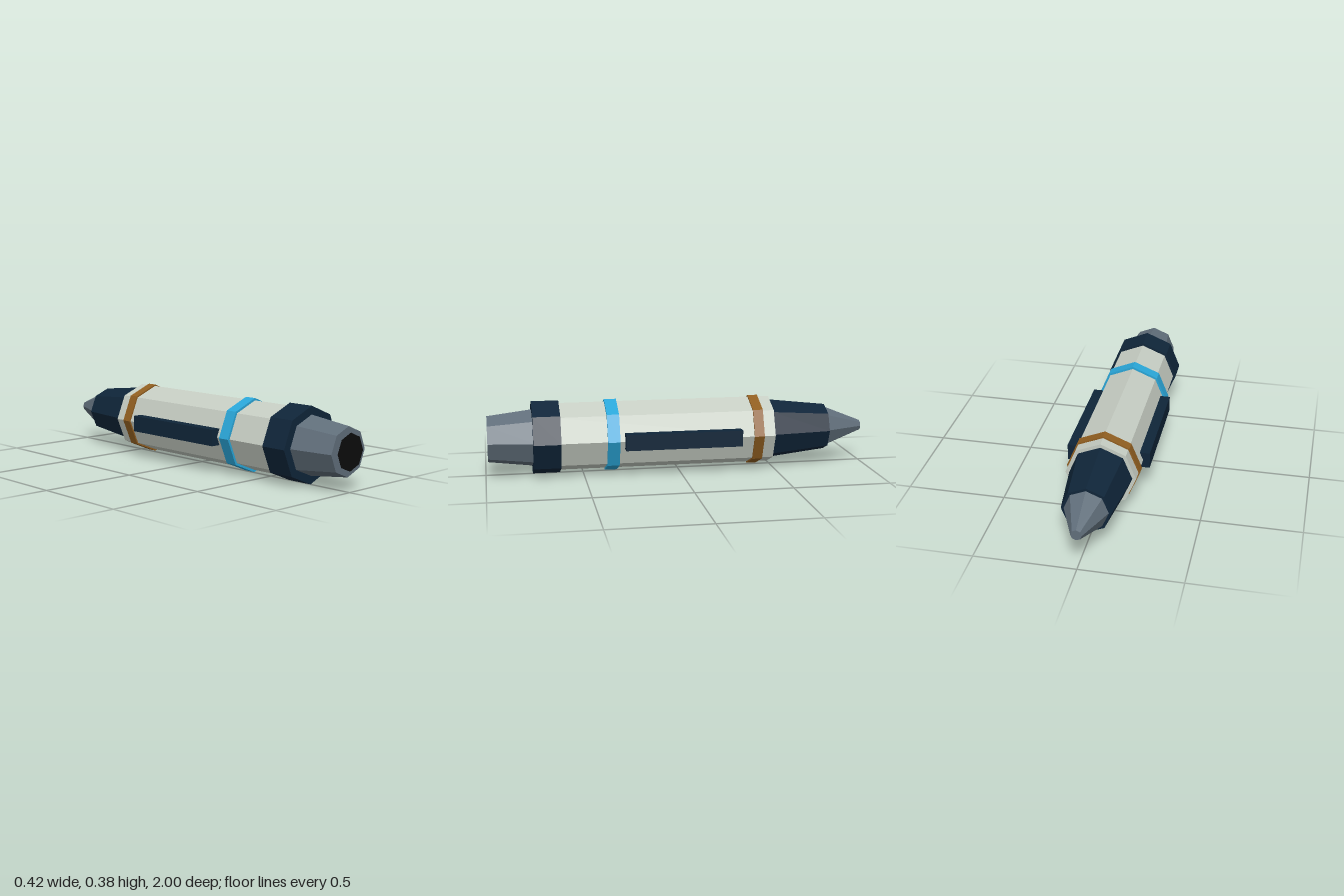
import * as THREE from 'three';

const AXIS_Y = 0.193;

function material(name, color) {
  const m = new THREE.MeshStandardMaterial({ color, flatShading: true });
  m.name = name;
  return m;
}

export function createModel() {
  const group = new THREE.Group();
  group.name = 'penTool';

  const pale = material('paleGrey', 0xc6cdc3);
  const navy = material('navy', 0x0f2539);
  const steel = material('steelGrey', 0x606e7a);
  const cyan = material('cyan', 0x2aa6d8);
  const bronze = material('bronze', 0x905e20);
  const black = material('black', 0x0c0c0c);

  function add(name, geometry, mat, x = 0, z = 0) {
    const mesh = new THREE.Mesh(geometry, mat);
    mesh.name = name;
    mesh.position.set(x, AXIS_Y, z);
    group.add(mesh);
  }

  // Eight-sided section along z, from its front end to its back end
  function section(name, mat, zFront, zBack, rFront, rBack = rFront) {
    const geometry = new THREE.CylinderGeometry(rFront, rBack, zFront - zBack, 8);
    geometry.rotateX(Math.PI / 2);
    add(name, geometry, mat, 0, (zFront + zBack) / 2);
  }

  // Barrel and its bands
  section('barrel', pale, 0.65, -0.49, 0.177);
  section('frontCollar', navy, 0.76, 0.62, 0.191);
  section('cyanBand', cyan, 0.385, 0.322, 0.189);
  section('bronzeBand', bronze, -0.378, -0.43, 0.185);

  // Front nozzle with a dark opening
  section('nozzle', steel, 0.987, 0.75, 0.121, 0.15);
  const opening = new THREE.CircleGeometry(0.092, 8);
  add('nozzleOpening', opening, black, 0, 1);

  // Tapered rear grip and tip
  section('rearGrip', navy, -0.49, -0.8, 0.158, 0.122);
  section('rearTip', steel, -0.8, -1, 0.108, 0.027);

  // Side rails
  for (const side of [1, -1]) {
    const rail = new THREE.BoxGeometry(0.06, 0.083, 0.604);
    add(side > 0 ? 'leftRail' : 'rightRail', rail, navy, side * 0.181, -0.006);
  }

  return group;
}
